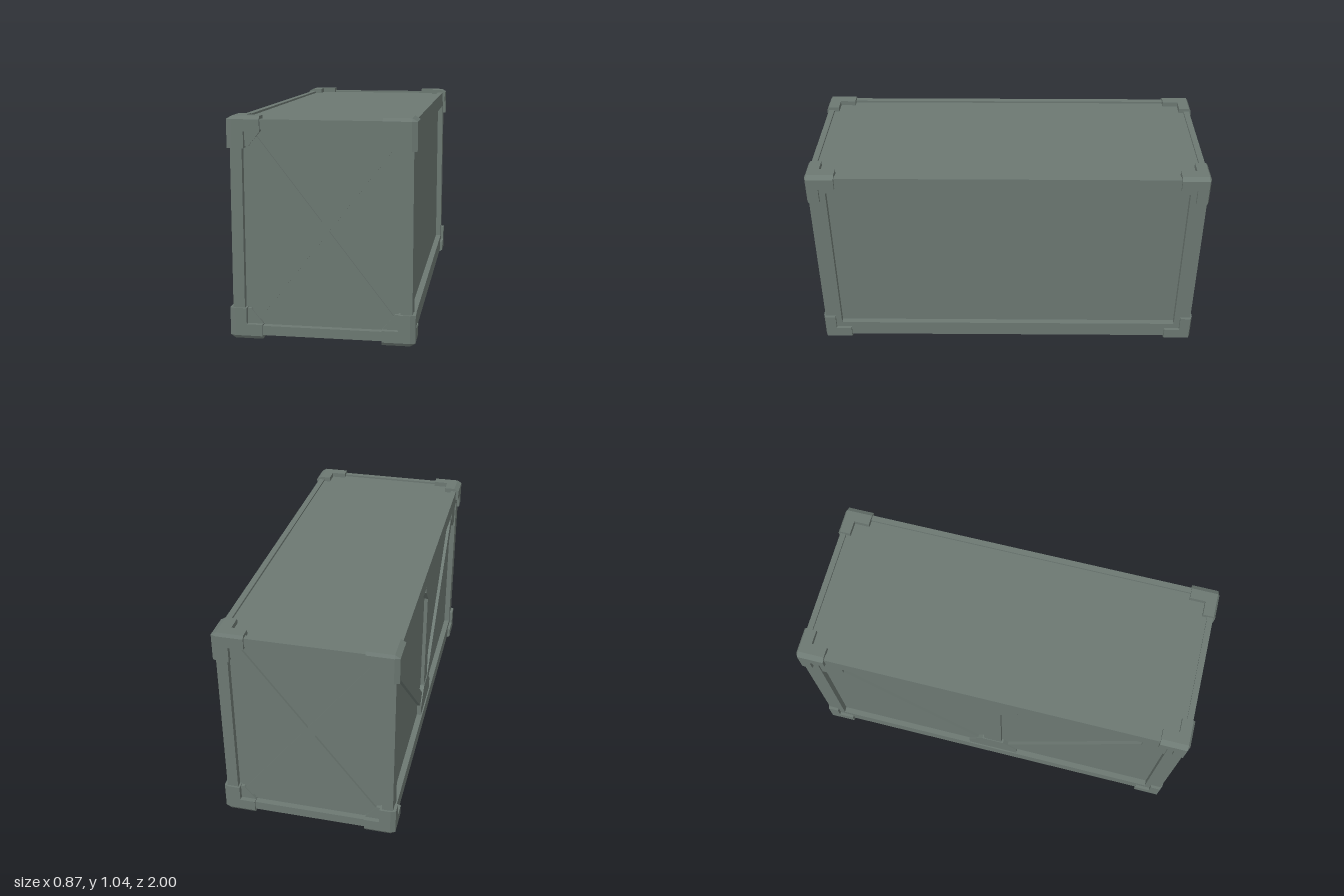
import * as THREE from 'three';
import { ConvexGeometry } from 'three/addons/geometries/ConvexGeometry.js';

const steel = new THREE.MeshStandardMaterial({ color: 0x6c7872 });
steel.name = 'greyGreenSteel';

// Outer limits of the frame, and the recessed core inside it
const FX = 0.42, FZ = 0.99, Y0 = 0.018, Y1 = 1.03;
const CX = 0.39, CZ = 0.96, LIP = 0.01;

function add(parent, name, geometry) {
  const mesh = new THREE.Mesh(geometry, steel);
  mesh.name = name;
  parent.add(mesh);
  return mesh;
}

// Box given by its low and high limits on each axis
function box(parent, name, x0, x1, y0, y1, z0, z1) {
  const g = new THREE.BoxGeometry(Math.abs(x1 - x0), y1 - y0, Math.abs(z1 - z0));
  add(parent, name, g).position.set((x0 + x1) / 2, (y0 + y1) / 2, (z0 + z1) / 2);
}

// Flat plate extruded from an outline
function plate(parent, name, points, depth) {
  const shape = new THREE.Shape(points.map(([u, v]) => new THREE.Vector2(u, v)));
  return add(parent, name, new THREE.ExtrudeGeometry(shape, { depth, bevelEnabled: false }));
}

// Straight brace between two points
function brace(parent, name, [ax, ay], [bx, by], width, depth) {
  const len = Math.hypot(bx - ax, by - ay);
  const nx = (-(by - ay) / len) * width / 2, ny = ((bx - ax) / len) * width / 2;
  return plate(parent, name, [[ax - nx, ay - ny], [bx - nx, by - ny], [bx + nx, by + ny], [ax + nx, ay + ny]], depth);
}

// One arm of a corner fitting: a block with its three outer edges chamfered
function fittingArm(parent, a, b, c, sx, sy, sz) {
  const cx = 0.025, cy = 0.015, cz = 0.01;
  const pts = [
    [0, cy, cz], [cx, 0, cz], [cx, cy, 0], [a, 0, cz], [a, cy, 0], [0, b, cz], [cx, b, 0],
    [0, cy, c], [cx, 0, c], [a, b, 0], [a, 0, c], [0, b, c], [a, b, c],
  ].map(([x, y, z]) => new THREE.Vector3(
    sx * (0.435 - x), sy > 0 ? 1.045 - y : y, sz * (1 - z)));
  add(parent, 'cornerFittingArm', new ConvexGeometry(pts));
}

// Crossed braces and corner gussets on an end wall
function endBracing() {
  const g = new THREE.Group();
  g.name = 'endBracing';
  brace(g, 'longBrace', [-0.32, 0.105], [0.32, 0.935], 0.053, 0.015);
  brace(g, 'upperBrace', [-0.32, 0.935], [0, 0.52], 0.053, 0.0145);
  brace(g, 'lowerBrace', [0, 0.52], [0.32, 0.105], 0.053, 0.0145);
  for (const s of [-1, 1]) for (const t of [-1, 1]) {
    const pts = [[0.37, 0.47], [0.283, 0.47], [0.283, 0.45], [0.338, 0.382], [0.37, 0.382]];
    plate(g, 'endGusset', pts.map(([x, y]) => [s * x, 0.524 + t * y]), 0.02);
  }
  return g;
}

// Diagonal truss on the braced long wall
function sideTruss() {
  const g = new THREE.Group();
  g.name = 'sideTruss';
  brace(g, 'centrePost', [0, 0.09], [0, 0.95], 0.1, 0.022);
  for (const s of [-1, 1]) {
    brace(g, 'diagonalBrace', [s * 0.06, 0.14], [s * 0.86, 0.89], 0.075, 0.02);
    plate(g, 'topCornerGusset', [[0.91, 0.95], [0.78, 0.95], [0.78, 0.88], [0.85, 0.81], [0.91, 0.81]]
      .map(([z, y]) => [s * z, y]), 0.026);
  }
  for (const t of [-1, 1]) {
    plate(g, 'centreGusset', [[-0.14, 0.43], [-0.14, 0.36], [-0.06, 0.28], [0.06, 0.28], [0.14, 0.36], [0.14, 0.43]]
      .map(([z, y]) => [z, 0.524 + t * y]), 0.026);
  }
  return g;
}

export function createModel() {
  const model = new THREE.Group();
  model.name = 'cargoContainer';

  // Recessed wall, roof and floor panels
  box(model, 'panelCore', -CX, CX, Y0 + LIP, Y1 - LIP, -CZ, CZ);

  const frame = new THREE.Group();
  frame.name = 'frame';
  const fittings = new THREE.Group();
  fittings.name = 'cornerFittings';
  model.add(frame, fittings);

  for (const s of [-1, 1]) {
    // Long and end rails, bottom then top
    box(frame, 'bottomLongRail', s * CX, s * FX, Y0, 0.1, -0.95, 0.95);
    box(frame, 'topLongRail', s * CX, s * FX, 0.945, Y1, -0.95, 0.95);
    box(frame, 'bottomEndRail', -0.38, 0.38, Y0, 0.063, s * CZ, s * FZ);
    box(frame, 'topEndRail', -0.38, 0.38, 0.985, Y1, s * CZ, s * FZ);

    for (const t of [-1, 1]) {
      box(frame, 'cornerPost', s * 0.365, s * FX, Y0, Y1, t * 0.905, t * FZ);
      // Three-armed fittings at the lower and upper corners
      for (const v of [-1, 1]) {
        fittingArm(fittings, 0.155, 0.07, 0.065, s, v, t);
        fittingArm(fittings, 0.08, 0.147, 0.065, s, v, t);
        fittingArm(fittings, 0.08, 0.07, 0.145, s, v, t);
      }
    }
  }

  // Bracing on both ends and on the right wall
  for (const turn of [0, Math.PI]) {
    const ends = endBracing();
    ends.rotation.y = turn;
    ends.position.z = Math.cos(turn) * (CZ - 0.003);
    model.add(ends);
  }
  const truss = sideTruss();
  truss.rotation.y = -Math.PI / 2;
  truss.position.x = -CX + 0.003;
  model.add(truss);

  return model;
}
